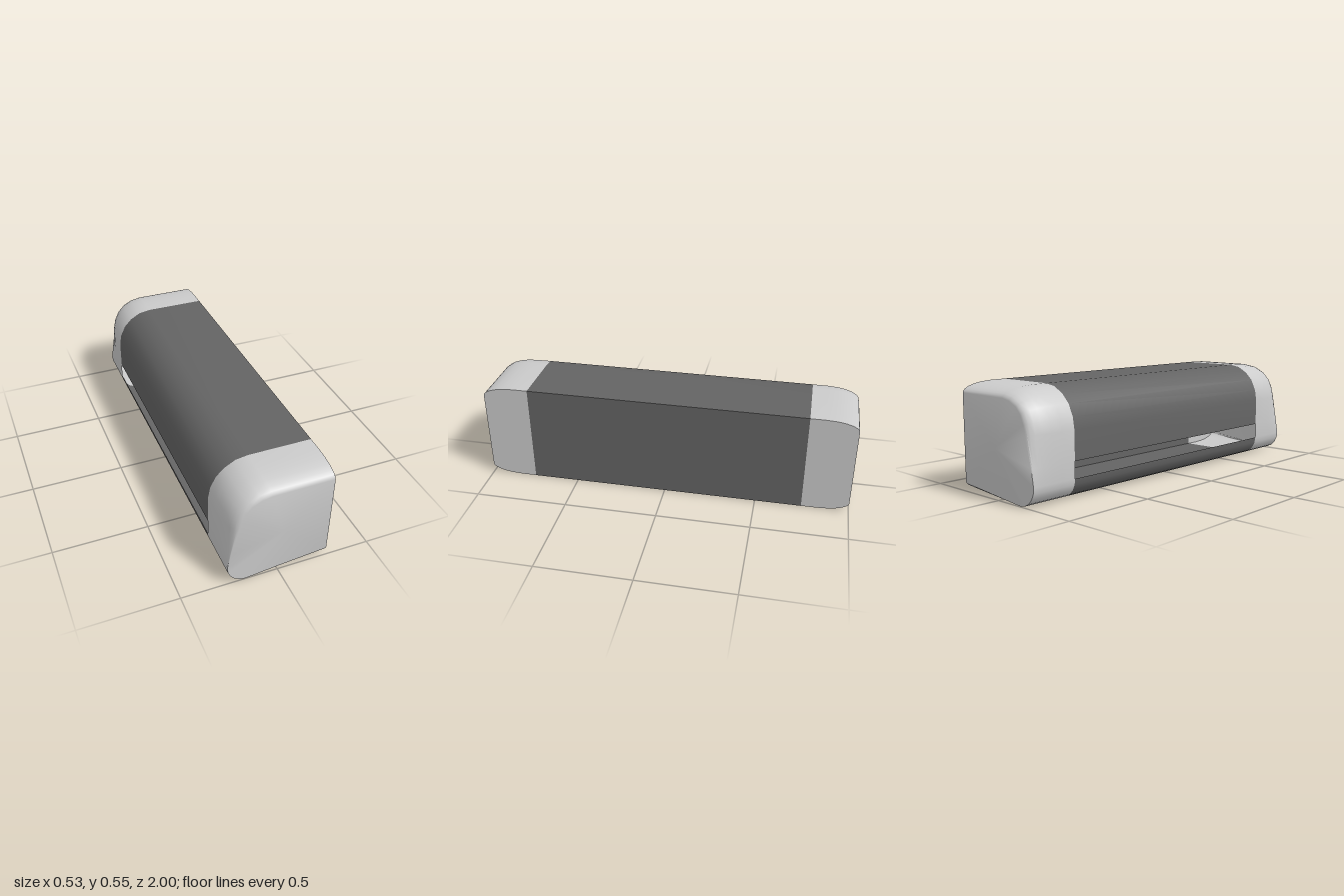
import * as THREE from 'three';
import { toCreasedNormals } from 'three/addons/utils/BufferGeometryUtils.js';

// Cross-section of the body: square on the left side, rounded on the right side
const BODY = [
  [0.265, 0], [-0.17, 0], [-0.195, 0.007], [-0.225, 0.022], [-0.248, 0.047], [-0.261, 0.075], [-0.265, 0.105],
  [-0.265, 0.19], [-0.265, 0.34], [-0.255, 0.4], [-0.227, 0.46], [-0.185, 0.503], [-0.128, 0.535], [-0.065, 0.545], [0.265, 0.545],
];
// Cross-section of the end face, drawn in at the top and upper right
const END = [
  [0.265, 0.05], [-0.17, 0.002], [-0.195, 0.007], [-0.225, 0.022], [-0.248, 0.047], [-0.261, 0.075], [-0.265, 0.105],
  [-0.25, 0.19], [-0.212, 0.34], [-0.2, 0.385], [-0.18, 0.43], [-0.148, 0.463], [-0.1, 0.485], [-0.05, 0.494], [0.265, 0.494],
];
const N = BODY.length;
const SLIT = 6; // wall strip left open along the body

const section = (t) => BODY.map(([x, y], i) => [x + (END[i][0] - x) * t, y + (END[i][1] - y) * t]);

// Joins rings ({ z, t }, in order of rising z); endSign closes the end facing that way
function loft(rings, { skip = -1, endSign = 0 } = {}) {
  const pos = [], index = [];
  for (const { z, t } of rings) for (const [x, y] of section(t)) pos.push(x, y, z);
  for (let k = 0; k < rings.length - 1; k++) {
    for (let j = 0; j < N; j++) {
      if (j === skip) continue;
      const a = k * N + j, b = k * N + (j + 1) % N;
      index.push(a, a + N, b, b, a + N, b + N);
    }
  }
  if (endSign) {
    const base = endSign > 0 ? (rings.length - 1) * N : 0;
    const centre = pos.length / 3;
    pos.push(0.02, 0.25, endSign);
    for (let j = 0; j < N; j++) {
      const a = base + j, b = base + (j + 1) % N;
      if (endSign > 0) index.push(centre, b, a);
      else index.push(centre, a, b);
    }
  }
  const geo = new THREE.BufferGeometry();
  geo.setAttribute('position', new THREE.Float32BufferAttribute(pos, 3));
  geo.setIndex(index);
  return toCreasedNormals(geo, 0.9);
}

export function createModel() {
  const group = new THREE.Group();
  const add = (name, geo, color) => {
    const mesh = new THREE.Mesh(geo, new THREE.MeshStandardMaterial({ color, side: THREE.DoubleSide }));
    mesh.name = name;
    group.add(mesh);
  };

  // Long dark sleeve with a narrow slot low on the right side
  add('body', loft([{ z: -0.75, t: 0 }, { z: 0.75, t: 0 }], { skip: SLIT }), 0x646464);

  // Pale end caps, curving in towards the end faces
  const steps = [0, 0.35, 0.6, 0.8, 0.92, 0.98, 1];
  for (const s of [1, -1]) {
    const rings = [{ z: s * 0.75, t: 0 }];
    for (const u of steps) rings.push({ z: s * (0.83 + 0.17 * u), t: 1 - Math.sqrt(1 - u * u) });
    if (s < 0) rings.reverse();
    add(s > 0 ? 'frontCap' : 'backCap', loft(rings, { endSign: s }), 0xcccccc);
  }
  return group;
}
